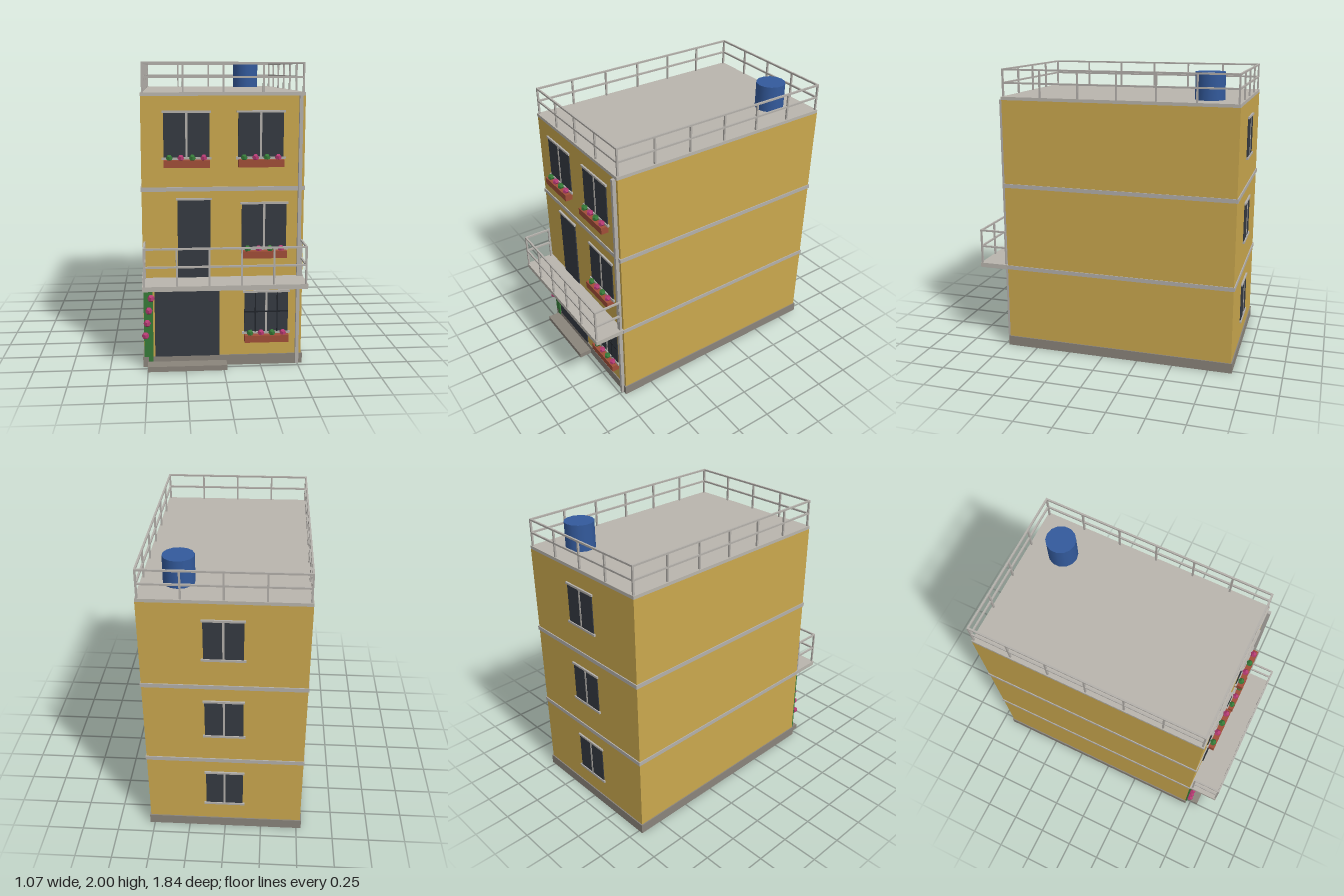
import * as THREE from 'three';

const mat = (name, color) => {
  const m = new THREE.MeshStandardMaterial({ color });
  m.name = name;
  return m;
};

export function createModel() {
  const wall = mat('ochre wall', 0xcaa84e), stone = mat('plinth stone', 0x8a847b);
  const concrete = mat('pale concrete', 0xb9b5ad), metal = mat('light grey trim', 0xb4b0ab);
  const glass = mat('dark glass', 0x353a42), bars = mat('dark iron', 0x20242a);
  const clay = mat('terracotta', 0xa04e38), leaf = mat('leaf green', 0x367a38);
  const bloom = mat('pink bloom', 0xb43a72), blue = mat('tank blue', 0x335a9c);

  const house = new THREE.Group();
  house.name = 'townHouse';

  // Box given by its minimum and maximum on each axis
  const box = (name, m, x0, x1, y0, y1, z0, z1, parent = house) => {
    const mesh = new THREE.Mesh(new THREE.BoxGeometry(x1 - x0, y1 - y0, z1 - z0), m);
    mesh.position.set((x0 + x1) / 2, (y0 + y1) / 2, (z0 + z1) / 2);
    mesh.name = name;
    parent.add(mesh);
    return mesh;
  };
  const group = (name) => {
    const g = new THREE.Group();
    g.name = name;
    house.add(g);
    return g;
  };
  const tuft = (name, m, x, y, z, r, parent) => {
    const mesh = new THREE.Mesh(new THREE.DodecahedronGeometry(r), m);
    mesh.position.set(x, y, z);
    mesh.name = name;
    parent.add(mesh);
  };

  const front = 0.71, back = -0.907;

  // Main block, plinth, floor bands, roof and entrance step
  box('walls', wall, -0.525, 0.525, 0.03, 1.79, back, front);
  box('plinth', stone, -0.533, 0.533, 0, 0.07, -0.915, 0.718);
  for (const y of [0.584, 1.182]) box('floorBand', metal, -0.531, 0.531, y, y + 0.028, -0.914, 0.717);
  box('roofSlab', concrete, -0.525, 0.525, 1.79, 1.812, back, front + 0.004);
  box('entranceStep', stone, -0.5, 0.022, 0, 0.035, 0.7, 0.808);
  box('balconySlab', concrete, -0.525, 0.525, 0.58, 0.612, 0.7, 0.922);

  // Railing around a path of corners; each run has its own number of bays
  const rail = (name, corners, bays, y0, mid, top) => {
    const g = group(name), h = 0.006;
    corners.slice(1).forEach(([bx, bz], i) => {
      const [ax, az] = corners[i];
      for (const y of [mid, top - h]) {
        box('railBar', metal, Math.min(ax, bx) - h, Math.max(ax, bx) + h, y - h, y + h,
          Math.min(az, bz) - h, Math.max(az, bz) + h, g);
      }
      for (let k = 0; k <= bays[i]; k++) {
        const t = k / bays[i], x = ax + (bx - ax) * t, z = az + (bz - az) * t;
        box('railPost', metal, x - h, x + h, y0, top - h, z - h, z + h, g);
      }
    });
  };
  rail('roofRailing', [[-0.512, 0.7], [0.512, 0.7], [0.512, -0.896], [-0.512, -0.896], [-0.512, 0.7]],
    [4, 6, 4, 6], 1.81, 1.905, 2);
  rail('balconyRailing', [[-0.512, 0.728], [-0.512, 0.914], [0.512, 0.914], [0.512, 0.728]],
    [1, 5, 1], 0.61, 0.735, 0.858);

  // Window: glass, centre mullion, lintel and sill; side is 1 for front, -1 for back
  const windowAt = (x, y0, y1, w, side) => {
    const g = group(side > 0 ? 'frontWindow' : 'backWindow');
    const face = side > 0 ? front : back;
    const part = (name, m, x0, x1, a, b, d) =>
      box(name, m, x0, x1, a, b, Math.min(face, face + side * d), Math.max(face, face + side * d), g);
    part('pane', glass, x - w, x + w, y0, y1, 0.006);
    part('mullion', metal, x - 0.007, x + 0.007, y0, y1, 0.009);
    part('lintel', metal, x - w - 0.01, x + w + 0.01, y1 - 0.004, y1 + 0.01, 0.012);
    part('sill', metal, x - w - 0.014, x + w + 0.014, y0 - 0.012, y0 + 0.003, 0.013);
    return g;
  };
  for (const y of [0.215, 0.81, 1.405]) windowAt(0.003, y, y + 0.27, 0.125, -1);

  // Front windows with planters of alternating leaves and blooms
  for (const [x, y0, y1] of [[-0.236, 1.4, 1.688], [0.24, 1.4, 1.688], [0.266, 0.803, 1.098], [0.287, 0.228, 0.503]]) {
    windowAt(x, y0, y1, 0.146, 1);
    const g = group('flowerBox');
    box('planter', clay, x - 0.146, x + 0.146, y0 - 0.06, y0 - 0.013, front, 0.762, g);
    for (let i = 0; i < 4; i++) {
      tuft(i % 2 ? 'bloom' : 'leaves', i % 2 ? bloom : leaf, x + (i - 1.5) * 0.073, y0, 0.738, 0.023, g);
    }
  }

  // Iron bars on the ground-floor window
  const grille = group('windowGrille');
  for (const x of [0.214, 0.287, 0.36]) {
    const z = x === 0.287 ? 0.717 : 0.722;
    box('grilleBar', bars, x - 0.004, x + 0.004, 0.228, 0.503, z - 0.003, z, grille);
  }
  box('grilleCrossbar', bars, 0.141, 0.433, 0.365, 0.374, 0.719, 0.724, grille);

  // Balcony door and garage door
  for (const [name, x0, x1, y0, y1] of [['balconyDoor', -0.296, -0.084, 0.612, 1.125], ['garageDoor', -0.452, -0.025, 0.07, 0.53]]) {
    box(name, glass, x0, x1, y0, y1, front, 0.718);
    box(name + 'Lintel', metal, x0 - 0.01, x1 + 0.01, y1, y1 + 0.013, front, 0.724);
  }

  // Drainpipe
  box('drainpipe', metal, 0.484, 0.506, 0.005, 1.79, front, 0.735);

  // Climbing plant beside the garage
  const vine = group('climbingPlant');
  box('vineOuter', leaf, -0.524, -0.495, 0.07, 0.562, front, 0.722, vine);
  box('vineInner', leaf, -0.495, -0.464, 0.04, 0.533, front, 0.724, vine);
  for (let i = 0; i < 4; i++) {
    tuft('vineBloom', bloom, [-0.475, -0.49, -0.502, -0.514][i], 0.48 - i * 0.085, 0.737, 0.025, vine);
  }

  // Rooftop water tank
  const tank = new THREE.Mesh(new THREE.CylinderGeometry(0.1, 0.1, 0.18, 14), blue);
  tank.position.set(0.286, 1.902, -0.673);
  tank.name = 'waterTank';
  house.add(tank);

  return house;
}
